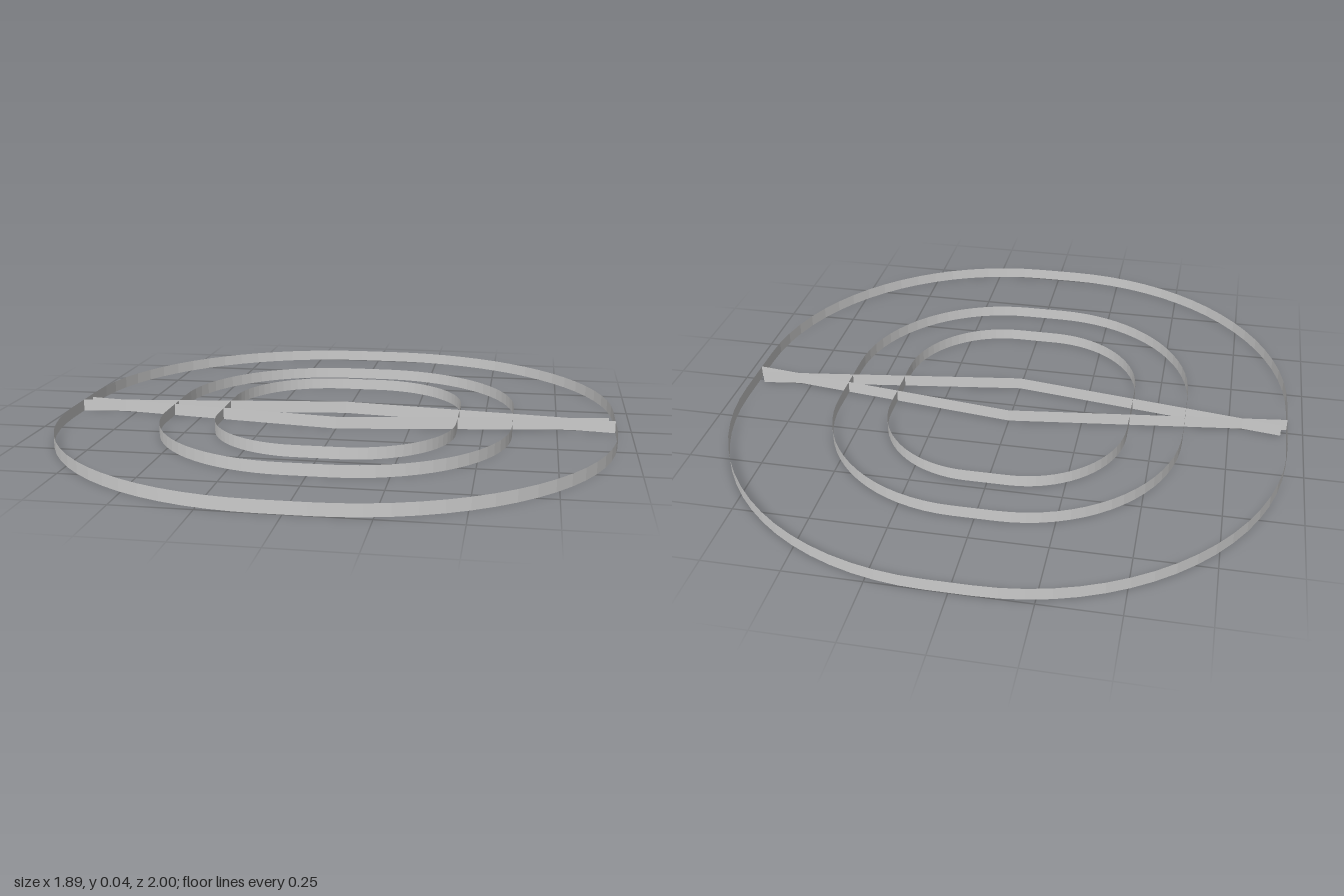
import * as THREE from 'three';

const material = new THREE.MeshStandardMaterial({
  color: 0xcccccc, flatShading: true, side: THREE.DoubleSide,
});

// Thin upright strip following a path of [x, z] points
function wall(name, path, height) {
  const positions = [], index = [];
  path.forEach(([x, z], i) => {
    positions.push(x, 0, z, x, height, z);
    if (i > 0) {
      const a = 2 * (i - 1);
      index.push(a, a + 2, a + 1, a + 1, a + 2, a + 3);
    }
  });
  const geometry = new THREE.BufferGeometry();
  geometry.setAttribute('position', new THREE.Float32BufferAttribute(positions, 3));
  geometry.setIndex(index);
  geometry.computeVertexNormals();
  const mesh = new THREE.Mesh(geometry, material);
  mesh.name = name;
  return mesh;
}

// Four quarter arcs joined by short straight sides
function ringPath(radius, straightX, straightZ, segments = 18) {
  const path = [];
  const signs = [[1, 1], [-1, 1], [-1, -1], [1, -1]];
  signs.forEach(([sx, sz], corner) => {
    for (let i = 0; i <= segments; i++) {
      const angle = (corner + i / segments) * Math.PI / 2;
      path.push([
        sx * straightX + radius * Math.cos(angle),
        sz * straightZ + radius * Math.sin(angle),
      ]);
    }
  });
  path.push(path[0]);
  return path;
}

export function createModel() {
  const model = new THREE.Group();
  model.name = 'ringFrame';

  // Concentric rounded rings
  const rings = [['outerRing', 0.875], ['middleRing', 0.53], ['innerRing', 0.343]];
  for (const [name, radius] of rings) {
    model.add(wall(name, ringPath(radius, 0.07, 0.125), 0.04));
  }

  // Bent crossbars that cross near both ends
  model.add(wall('backCrossbar', [[-0.945, 0.02], [0, -0.1], [0.945, 0.02]], 0.042));
  model.add(wall('frontCrossbar', [[-0.925, -0.018], [0, 0.115], [0.925, -0.018]], 0.042));

  return model;
}
